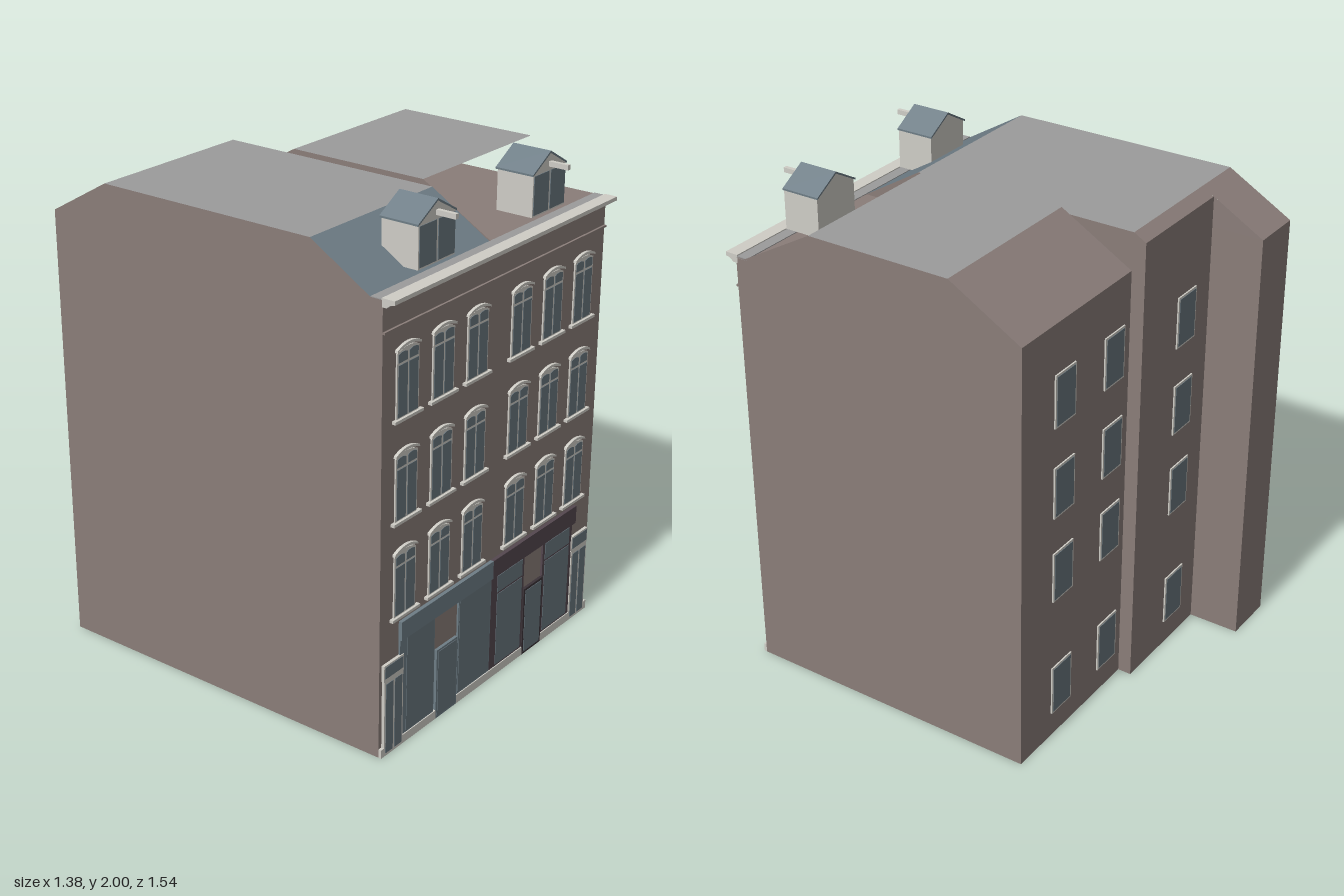
import * as THREE from 'three';

const mat = (name, color) => Object.assign(new THREE.MeshStandardMaterial({ color }), { name });

export function createModel() {
  const brick = mat('brick', 0x8a7d79), cream = mat('cream paint', 0xcfcdc6), slate = mat('slate', 0x6e7d86);
  const glass = mat('glass', 0x69767e), roofGrey = mat('roof felt', 0x9b9b9b);
  const plum = mat('plum paint', 0x54474f), dark = mat('dark frame', 0x3b3338);
  const model = new THREE.Group();
  model.name = 'townhouses';
  const F = 0.72; // facade plane

  function add(parent, name, geo, material) {
    const m = new THREE.Mesh(geo, material);
    m.name = name;
    parent.add(m);
    return m;
  }
  function box(parent, name, material, x0, x1, y0, y1, z0, z1) {
    const m = add(parent, name, new THREE.BoxGeometry(x1 - x0, y1 - y0, z1 - z0), material);
    m.position.set((x0 + x1) / 2, (y0 + y1) / 2, (z0 + z1) / 2);
    return m;
  }
  // Flat convex polygon turned towards the direction "out"
  function face(parent, name, material, pts, out) {
    const v = pts.map(p => new THREE.Vector3(...p));
    const n = v[1].clone().sub(v[0]).cross(v[2].clone().sub(v[0]));
    if (n.dot(new THREE.Vector3(...out)) < 0) v.reverse();
    const tri = [];
    for (let i = 1; i < v.length - 1; i++) tri.push(v[0], v[i], v[i + 1]);
    const g = new THREE.BufferGeometry().setFromPoints(tri);
    g.computeVertexNormals();
    return add(parent, name, g, material);
  }
  const shapeOf = pts => new THREE.Shape(pts.map(p => new THREE.Vector2(...p)));
  const extrude = (shape, depth) => new THREE.ExtrudeGeometry(shape, { depth, bevelEnabled: false });

  // Lower walls of both houses, from the plan
  const xl = z => -0.6863 + 0.0074 * z; // slightly skewed outer wall
  const plan = [[xl(F), F], [0.69, F], [0.69, -0.505], [0, -0.505], [0, -0.56], [-0.48, -0.56], [-0.48, -0.77], [xl(-0.77), -0.77]];
  const walls = extrude(shapeOf(plan.map(([x, z]) => [x, -z])), 1.75);
  walls.rotateX(-Math.PI / 2);
  add(model, 'walls', walls, brick);

  // Left house roof
  const L = new THREE.Group();
  L.name = 'leftRoof';
  model.add(L);
  const backY = 1.871;
  face(L, 'mansardSlope', slate, [[xl(0.67), 1.75, 0.67], [0, 1.75, 0.67], [0, 1.9, 0.42], [xl(0.42), 1.9, 0.42]], [0, 1, 1]);
  face(L, 'flatRoof', roofGrey, [[xl(0.42), 1.9, 0.42], [0, 1.9, 0.42], [0, 1.9, -0.51], [xl(-0.51), 1.9, -0.51]], [0, 1, 0]);
  face(L, 'wingSlope', brick, [[xl(-0.51), 1.9, -0.51], [-0.48, 1.9, -0.51], [-0.48, 1.75, -0.77], [xl(-0.77), 1.75, -0.77]], [0, 1, -1]);
  face(L, 'backSlope', brick, [[-0.48, 1.9, -0.51], [0, 1.9, -0.51], [0, backY, -0.56], [-0.48, backY, -0.56]], [0, 1, -1]);
  face(L, 'backWallTop', brick, [[-0.48, backY, -0.56], [0, backY, -0.56], [0, 1.75, -0.56], [-0.48, 1.75, -0.56]], [0, 0, -1]);
  face(L, 'wingSide', brick, [[-0.48, backY, -0.56], [-0.48, 1.75, -0.56], [-0.48, 1.75, -0.77]], [1, 0, 0]);
  face(L, 'partyGable', brick, [[0, 1.75, 0.67], [0, 1.9, 0.42], [0, 1.9, -0.51], [0, backY, -0.56], [0, 1.75, -0.56]], [1, 0, 0]);
  face(L, 'outerGable', brick, [[0.67, 1.75], [0.42, 1.9], [-0.51, 1.9], [-0.77, 1.75]].map(([z, y]) => [xl(z), y, z]), [-1, 0, 0]);

  // Right house roof, open at the front above the attic floor
  const R = new THREE.Group();
  R.name = 'rightRoof';
  model.add(R);
  const gable = [[0.68, 1.75], [0.38, 1.92], [-0.21, 1.92], [-0.505, 1.75]];
  face(R, 'flatRoof', roofGrey, [[0, 1.92, 0.38], [0.69, 1.92, 0.38], [0.69, 1.92, -0.21], [0, 1.92, -0.21]], [0, 1, 0]);
  face(R, 'backSlope', brick, [[0, 1.92, -0.21], [0.69, 1.92, -0.21], [0.69, 1.75, -0.505], [0, 1.75, -0.505]], [0, 1, -1]);
  for (const [x, s] of [[0.69, 1], [0, -1]]) face(R, 'gable', brick, gable.map(([z, y]) => [x, y, z]), [s, 0, 0]);

  // Gutter, cornice and string course
  box(model, 'gutter', roofGrey, xl(F), 0.69, 1.745, 1.753, 0.67, 0.722);
  const cornice = extrude(shapeOf([[0.715, 1.757], [0.768, 1.757], [0.768, 1.742], [0.75, 1.738], [0.735, 1.725], [0.715, 1.725]].map(([z, y]) => [-z, y])), 1.371);
  cornice.rotateY(Math.PI / 2);
  add(model, 'cornice', cornice, cream).position.x = -0.681;
  box(model, 'stringCourse', brick, -0.681, 0.69, 1.63, 1.638, F, F + 0.009);

  // Segment-arched shape, symmetrical about x = 0
  function arched(w, y0, ySide, yTop) {
    const s = new THREE.Shape();
    s.moveTo(-w, y0);
    s.lineTo(w, y0);
    s.lineTo(w, ySide);
    s.quadraticCurveTo(0, 2 * yTop - ySide, -w, ySide);
    return s;
  }
  const hood = new THREE.Shape();
  hood.moveTo(-0.068, 0.254);
  hood.quadraticCurveTo(0, 0.284, 0.068, 0.254);
  hood.lineTo(0.066, 0.263);
  hood.quadraticCurveTo(0, 0.296, -0.066, 0.263);
  const frameGeo = extrude(arched(0.062, 0.01, 0.248, 0.263), 0.006);
  const hoodGeo = extrude(hood, 0.012);
  const topGeo = extrude(arched(0.0245, 0.214, 0.244, 0.25), 0.003);

  // Facade windows
  for (const y of [1.29, 0.905, 0.53]) for (const x of [-0.545, -0.34, -0.135, 0.14, 0.345, 0.55]) {
    const w = new THREE.Group();
    w.name = 'frontWindow';
    w.position.set(x, y, F);
    model.add(w);
    add(w, 'frame', frameGeo, cream);
    add(w, 'archHood', hoodGeo, cream);
    box(w, 'sill', cream, -0.08, 0.08, 0, 0.011, 0, 0.016);
    for (const s of [-1, 1]) {
      box(w, 'pane', glass, s * 0.03 - 0.0255, s * 0.03 + 0.0255, 0.016, 0.205, 0.005, 0.008);
      add(w, 'topPane', topGeo, glass).position.set(s * 0.03, 0, 0.005);
    }
  }

  // Rear windows
  for (const [x, z] of [[0.105, -0.505], [0.425, -0.505], [-0.31, -0.56]]) for (const y of [1.45, 1.08, 0.72, 0.21]) {
    box(model, 'rearWindowFrame', cream, x - 0.065, x + 0.065, y - 0.105, y + 0.105, z - 0.006, z);
    box(model, 'rearWindowPane', glass, x - 0.057, x + 0.057, y - 0.097, y + 0.097, z - 0.008, z - 0.005);
  }

  // Plinth between the doors
  for (const [a, b] of [[-0.681, -0.665], [-0.555, -0.35], [-0.22, 0.222], [0.352, 0.56], [0.67, 0.69]])
    box(model, 'plinth', cream, a, b, 0, 0.035, F, F + 0.012);

  // Left shopfront
  const P = F + 0.008;
  box(model, 'leftFascia', slate, -0.57, 0, 0.435, 0.51, F, F + 0.015);
  for (const [a, b, c, d] of [[-0.57, -0.36, -0.53, -0.366], [-0.212, 0, -0.206, -0.008]]) {
    box(model, 'leftShopFrame', slate, a, b, 0.035, 0.435, F, P);
    box(model, 'leftShopPane', glass, c, d, 0.042, 0.43, P, P + 0.002);
  }
  box(model, 'leftShopDoor', slate, -0.35, -0.22, 0, 0.29, F, F + 0.012);
  box(model, 'leftDoorPane', glass, -0.342, -0.228, 0.01, 0.282, F + 0.012, F + 0.014);

  // Right shopfront
  box(model, 'rightFascia', plum, 0, 0.575, 0.435, 0.51, F, F + 0.015);
  for (const [a, b, c, d] of [[0, 0.222, 0.04, 0.208], [0.352, 0.56, 0.367, 0.54]]) {
    box(model, 'rightShopFrame', plum, a, b, 0.035, 0.435, F, P);
    box(model, 'shopPane', glass, c, d, 0.042, 0.35, P, P + 0.002);
    box(model, 'shopTopLight', glass, c, d, 0.358, 0.428, P, P + 0.002);
  }
  box(model, 'rightShopDoor', dark, 0.222, 0.352, 0, 0.29, F, F + 0.012);
  box(model, 'rightDoorPane', glass, 0.232, 0.342, 0.01, 0.28, F + 0.012, F + 0.014);

  // Side doors to the upper floors
  for (const x of [-0.61, 0.615]) {
    box(model, 'sideDoorFrame', cream, x - 0.055, x + 0.055, 0, 0.31, F, F + 0.012);
    box(model, 'transomFrame', cream, x - 0.058, x + 0.058, 0.31, 0.375, F, F + 0.012);
    box(model, 'transomLight', glass, x - 0.052, x + 0.052, 0.322, 0.369, F + 0.012, F + 0.014);
    for (const s of [-1, 1])
      box(model, 'doorPanel', glass, x + s * 0.026 - 0.021, x + s * 0.026 + 0.021, 0.012, 0.298, F + 0.012, F + 0.014);
  }

  // Dormers with hoisting beams
  const dormerGeo = extrude(shapeOf([[-0.105, 1.775], [0.105, 1.775], [0.105, 1.932], [0, 1.992], [-0.105, 1.932]]), 0.152);
  for (const x of [-0.34, 0.345]) {
    const d = new THREE.Group();
    d.name = 'dormer';
    d.position.x = x;
    model.add(d);
    add(d, 'dormerBody', dormerGeo, cream).position.z = 0.534;
    for (const s of [-1, 1]) {
      const strip = extrude(shapeOf([[0, 1.992], [s * 0.11, 1.929], [s * 0.11, 1.936], [0, 2]]), 0.16);
      add(d, 'dormerRoof', strip, slate).position.z = 0.528;
      box(d, 'dormerPane', glass, s * 0.053 - 0.0475, s * 0.053 + 0.0475, 1.782, 1.928, 0.685, 0.689);
    }
    box(d, 'hoistBeam', cream, -0.008, 0.008, 1.943, 1.962, 0.68, 0.766);
  }
  return model;
}
